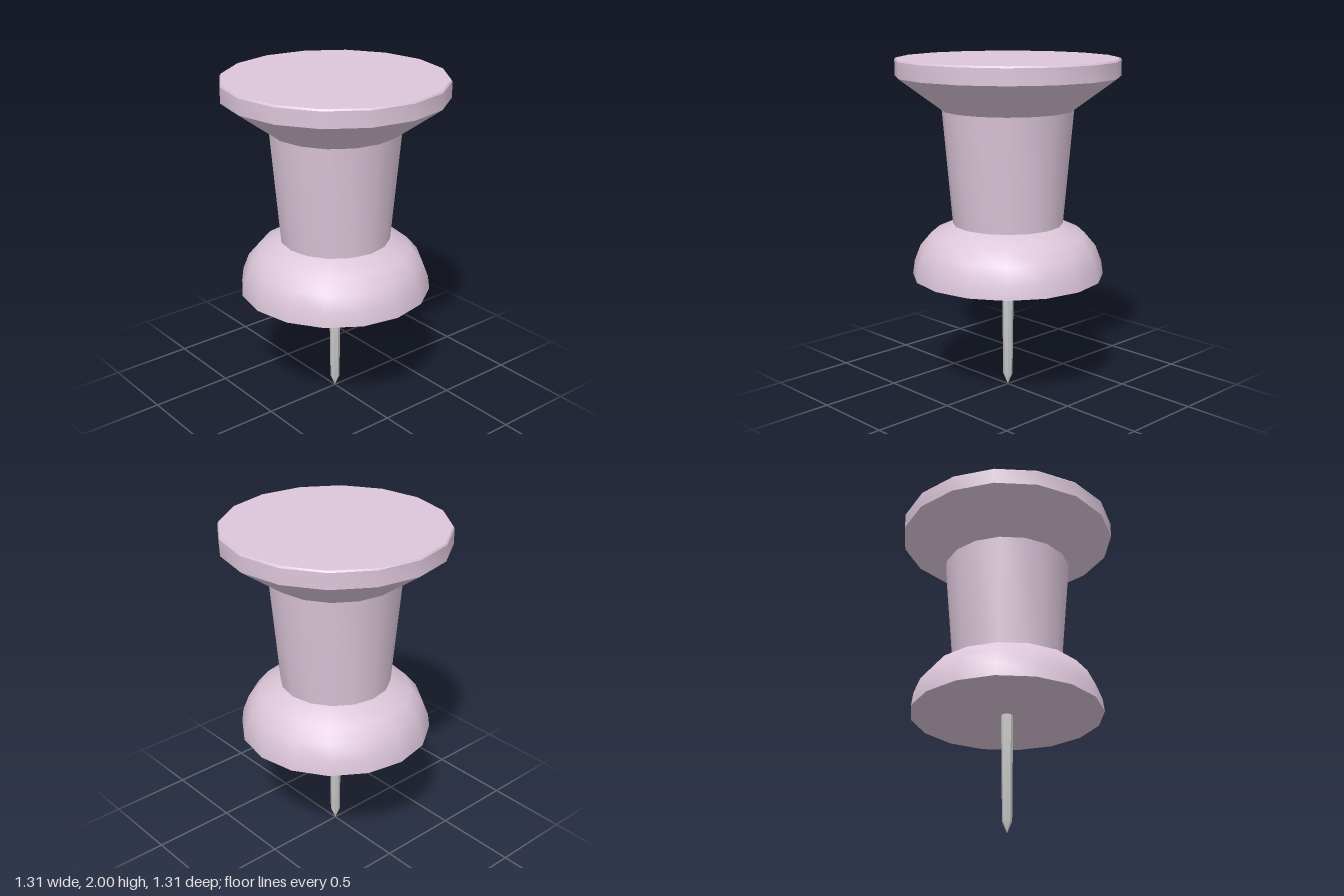
import * as THREE from 'three';
import { toCreasedNormals } from 'three/addons/utils/BufferGeometryUtils.js';

// Turned part: profile of [radius, y] points from bottom to top
function turned(name, profile, sides, color) {
  const points = profile.map(([r, y]) => new THREE.Vector2(r, y));
  const geometry = toCreasedNormals(new THREE.LatheGeometry(points, sides), 0.56);
  const mesh = new THREE.Mesh(geometry, new THREE.MeshStandardMaterial({ color }));
  mesh.name = name;
  return mesh;
}

export function createModel() {
  const group = new THREE.Group();
  group.name = 'pushPin';

  // Plastic handle: domed collar, tapered grip, flared cap
  group.add(turned('handle', [
    [0, 0.71], [0.573, 0.71], [0.562, 0.79], [0.525, 0.886], [0.457, 0.966],
    [0.329, 1.025],
    [0.387, 1.70],
    [0.657, 1.897], [0.657, 1.99], [0.65, 2], [0, 2],
  ], 16, 0xdcc6d9));

  // Metal needle with a pointed tip
  group.add(turned('needle', [
    [0, 0], [0.029, 0.07], [0.036, 0.71], [0, 0.71],
  ], 8, 0xcccccc));

  return group;
}
